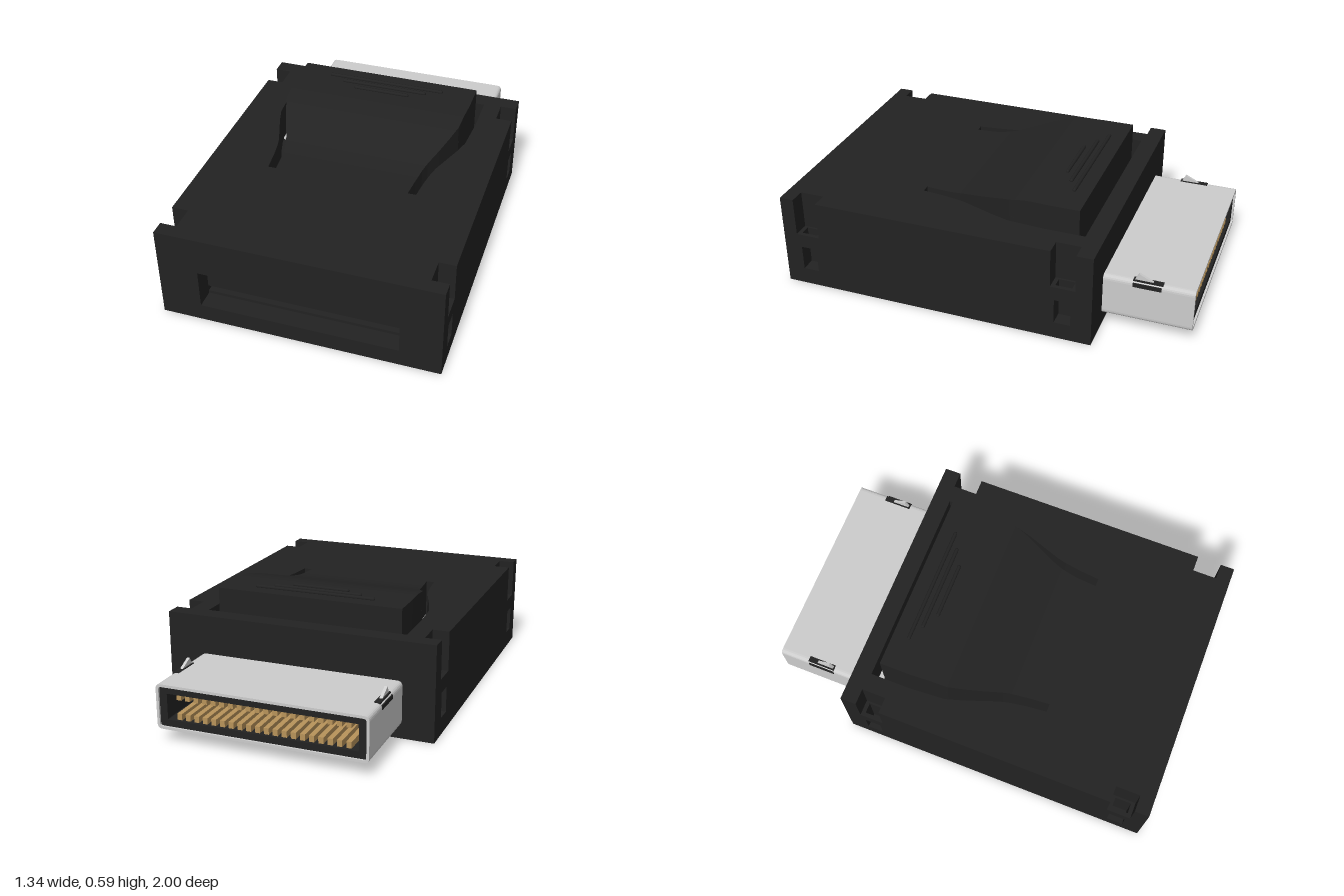
import * as THREE from 'three';

const mat = (name, color, side = THREE.FrontSide) => {
  const m = new THREE.MeshStandardMaterial({ color, side });
  m.name = name;
  return m;
};

export function createModel() {
  const group = new THREE.Group();
  const black = mat('black plastic', 0x222222);
  const metal = mat('light metal', 0xcccccc);
  const gold = mat('contact gold', 0xb8935a);
  const grey = mat('contact grey', 0x8a8a8a);

  const add = (name, geo, m) => {
    const mesh = new THREE.Mesh(geo, m);
    mesh.name = name;
    group.add(mesh);
    return mesh;
  };
  const box = (name, m, x0, x1, y0, y1, z0, z1) => {
    const g = new THREE.BoxGeometry(x1 - x0, y1 - y0, z1 - z0);
    g.translate((x0 + x1) / 2, (y0 + y1) / 2, (z0 + z1) / 2);
    return add(name, g, m);
  };
  const toPoints = (pts) => pts.map(([x, y]) => new THREE.Vector2(x, y));
  // Horizontal slab from an (x, z) outline with optional holes
  const slab = (name, m, pts, y0, y1, holes = []) => {
    const s = new THREE.Shape(toPoints(pts));
    s.holes = holes.map((h) => new THREE.Path(toPoints(h)));
    const g = new THREE.ExtrudeGeometry(s, { depth: y1 - y0, bevelEnabled: false });
    g.rotateX(Math.PI / 2).translate(0, y1, 0);
    return add(name, g, m);
  };
  const rect = (x0, x1, z0, z1) => [[x0, z0], [x1, z0], [x1, z1], [x0, z1]];

  // Case outline, with side notches and an optional mouth in the front
  const W = 0.67, BACK = -0.57, FRONT = 1, MOUTH = 0.475, MOUTH_BACK = -0.1;
  const outline = (depth, notches, mouth) => {
    const right = [[W, BACK]];
    for (const [a, b] of notches) right.push([W, a], [W - depth, a], [W - depth, b], [W, b]);
    right.push([W, FRONT]);
    if (mouth) right.push([MOUTH, FRONT], [MOUTH, MOUTH_BACK]);
    return [...right, ...right.map(([x, z]) => [-x, z]).reverse()];
  };
  const wide = [[-0.49, -0.37], [0.81, 0.93]];
  const narrow = [[-0.47, -0.39], [0.83, 0.91]];
  const pockets = narrow.flatMap(([a, b]) => [rect(0.6, 0.65, a, b), rect(-0.65, -0.6, a, b)]);

  // Curved slot around the lever: z, inner x, outer x
  const slot = [
    [-0.44, 0.465, 0.502], [-0.28, 0.465, 0.502], [-0.1, 0.455, 0.49], [-0.02, 0.43, 0.466],
    [0.06, 0.4, 0.437], [0.15, 0.364, 0.405], [0.2, 0.35, 0.393], [0.28, 0.338, 0.38], [0.38, 0.33, 0.37],
  ];
  const slotX = (z, k) => {
    for (let i = 1; i < slot.length; i++) {
      const a = slot[i - 1], b = slot[i];
      if (z <= b[0]) return a[k] + (b[k] - a[k]) * Math.max(0, (z - a[0]) / (b[0] - a[0]));
    }
    return slot[slot.length - 1][k];
  };
  const outer = slot.map(([z, , o]) => [o, z]);
  const inner = slot.map(([z, i]) => [i, z]);
  const flip = (pts) => pts.map(([x, z]) => [-x, z]);
  const leverGap = [
    ...flip(outer).reverse(), [-0.502, -0.48], [0.502, -0.48], ...outer,
    ...[...inner].reverse(), ...flip(inner),
  ];

  // Case layers
  slab('caseBase', black, outline(0, []), 0, 0.085);
  slab('caseLower', black, outline(0.07, narrow, true), 0.085, 0.21);
  slab('caseMiddle', black, outline(0, [], true), 0.21, 0.28, pockets);
  slab('caseTop', black, outline(0.08, wide), 0.28, 0.47, [leverGap]);

  // Front socket: dark ribs with pale contact strips deep between them
  for (const [a, b] of [[0.085, 0.1], [0.13, 0.215], [0.25, 0.28]])
    box('socketRib', black, -MOUTH, MOUTH, a, b, MOUTH_BACK, 0.91);
  for (const [a, b] of [[0.1, 0.13], [0.215, 0.25]]) {
    box('socketStrip', metal, -MOUTH, 0.455, a, b, MOUTH_BACK, 0);
    const y = (a + b) / 2;
    for (let i = 0; i < 20; i++) {
      const x = -0.415 + i * 0.0405;
      box('socketContact', grey, x - 0.013, x + 0.013, y - 0.005, y + 0.005, 0, 0.005);
    }
  }

  // Raised lever hump, lofted from slices that widen toward the back
  const pos = [], N = 28;
  const slice = (i) => {
    const z = 0.3 - (0.74 * i) / N;
    const w = slotX(z, 1);
    const h = 0.47 + 0.105 * THREE.MathUtils.smoothstep(-z, -0.3, 0.22);
    return [[-w, 0.47, z], [-w, h, z], [w, h, z], [w, 0.47, z]];
  };
  for (let i = 0; i < N; i++) {
    const a = slice(i), b = slice(i + 1);
    for (let j = 0; j < 3; j++)
      pos.push(...a[j], ...a[j + 1], ...b[j + 1], ...a[j], ...b[j + 1], ...b[j]);
  }
  const [p, q, r, s] = slice(N);
  pos.push(...p, ...q, ...r, ...p, ...r, ...s);
  const hump = new THREE.BufferGeometry();
  hump.setAttribute('position', new THREE.Float32BufferAttribute(pos, 3));
  hump.computeVertexNormals();
  add('leverHump', hump, black);

  // Finger ridges on the lever
  for (const [z, w] of [[-0.36, 0.305], [-0.32, 0.225], [-0.275, 0.145]]) {
    const g = new THREE.CapsuleGeometry(0.009, 2 * w - 0.018, 4, 10);
    g.rotateZ(Math.PI / 2).translate(0, 0.579, z);
    add('leverRidge', g, black);
  }

  // Spring metal showing through the lever slot
  const strip = (name, m, side, z0, z1) => {
    const zs = [0, 1, 2, 3, 4].map((i) => z0 + ((z1 - z0) * i) / 4);
    const pts = [...zs.map((z) => [side * slotX(z, 2), z]), ...zs.map((z) => [side * slotX(z, 1), z]).reverse()];
    slab(name, m, pts, 0.28, 0.29);
  };
  for (const side of [-1, 1]) {
    strip('springArm', metal, side, -0.475, -0.12);
    strip('springTip', metal, side, 0.2, 0.38);
    strip('springContact', gold, side, side < 0 ? 0.06 : 0.15, 0.2);
  }
  box('springBridge', metal, -0.48, 0.48, 0.28, 0.3, -0.478, -0.452);
  for (const x of [-0.09, 0.08]) box('bridgeTab', grey, x - 0.04, x + 0.04, 0.3, 0.305, -0.472, -0.458);

  // Plug shell: rounded rectangular tube
  const roundRect = (T, x0, x1, y0, y1, c) => {
    const t = new T();
    t.moveTo(x0 + c, y0);
    t.lineTo(x1 - c, y0); t.quadraticCurveTo(x1, y0, x1, y0 + c);
    t.lineTo(x1, y1 - c); t.quadraticCurveTo(x1, y1, x1 - c, y1);
    t.lineTo(x0 + c, y1); t.quadraticCurveTo(x0, y1, x0, y1 - c);
    t.lineTo(x0, y0 + c); t.quadraticCurveTo(x0, y0, x0 + c, y0);
    return t;
  };
  const tube = (name, m, o, i, z0, z1) => {
    const shape = roundRect(THREE.Shape, ...o);
    shape.holes.push(roundRect(THREE.Path, ...i));
    const g = new THREE.ExtrudeGeometry(shape, { depth: z1 - z0, bevelEnabled: false, curveSegments: 5 });
    add(name, g.translate(0, 0, z0), m);
  };
  tube('plugShell', metal, [-0.515, 0.5, 0.065, 0.28, 0.025], [-0.502, 0.487, 0.078, 0.267, 0.015], -1, -0.56);
  tube('plugInsulator', black, [-0.502, 0.487, 0.078, 0.267, 0.015], [-0.465, 0.45, 0.11, 0.235, 0.005], -0.99, -0.57);
  box('plugFloor', black, -0.48, 0.465, 0.1, 0.245, -0.78, -0.57);

  // Plug contacts along both inner walls
  for (let i = 0; i < 20; i++) {
    const x = -0.415 + i * 0.0428;
    box('plugContactLower', gold, x - 0.012, x + 0.012, 0.11, 0.14, -0.975, -0.78);
    box('plugContactUpper', gold, x - 0.012, x + 0.012, 0.205, 0.235, -0.975, -0.78);
  }

  // Latch hooks and their windows on the plug edges
  for (const side of [-1, 1]) {
    const x = side * 0.487 - 0.0075;
    box('latchWindow', black, x - 0.014, x + 0.014, 0.276, 0.283, -0.85, -0.71);
    const wx = side < 0 ? -0.515 : 0.5;
    box('latchSideWindow', black, wx - 0.003, wx + 0.003, 0.25, 0.27, -0.845, -0.71);
    const hook = new THREE.Shape(toPoints([[0.71, 0.27], [0.83, 0.27], [0.735, 0.315]]));
    const g = new THREE.ExtrudeGeometry(hook, { depth: 0.014, bevelEnabled: false });
    g.rotateY(Math.PI / 2).translate(x - 0.007, 0, 0);
    add('latchHook', g, metal);
  }
  return group;
}
